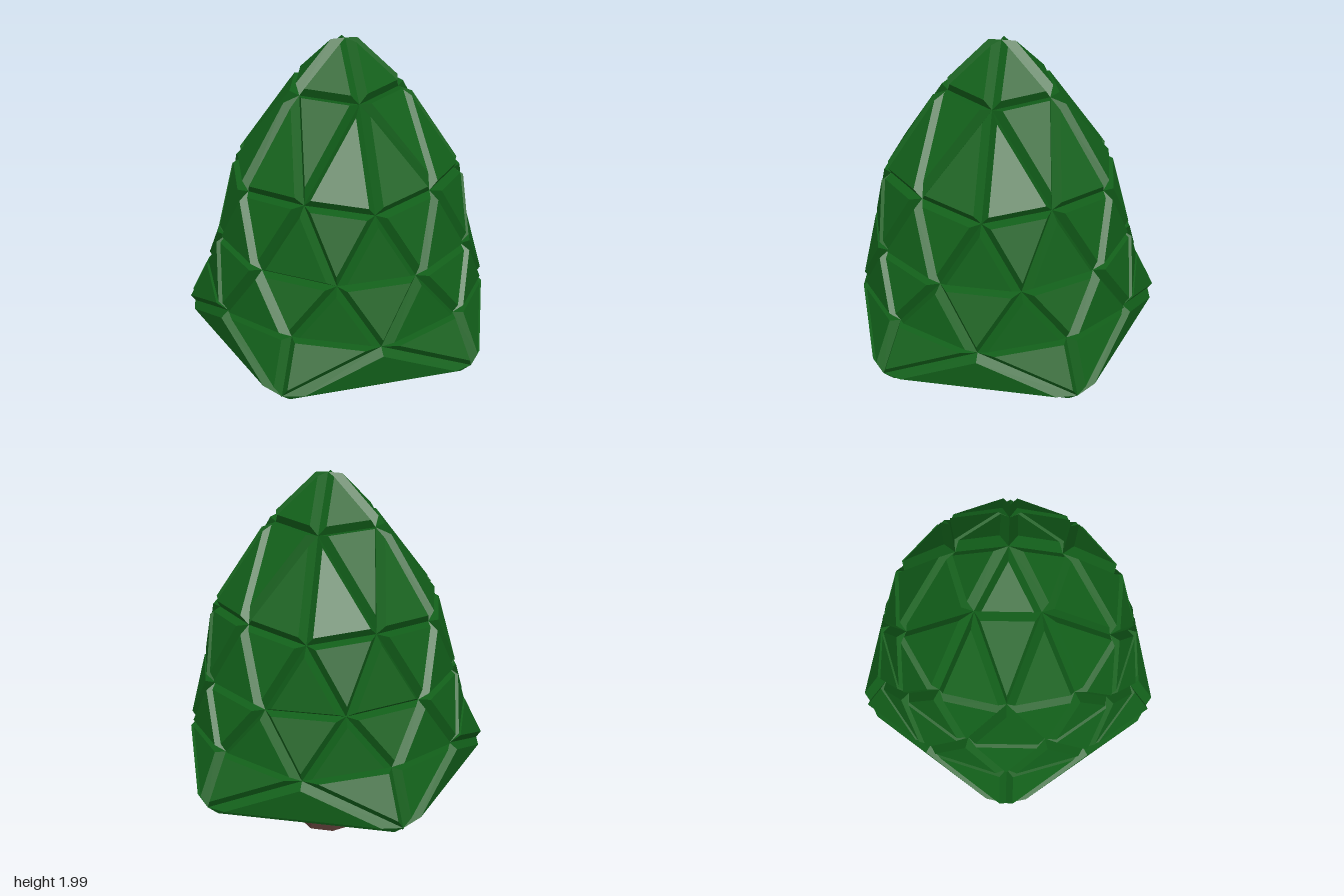
import * as THREE from 'three';

const CENTER_X = 0.05; // the crown and trunk axis
const INSET = 0.022, RAISE = 0.045; // groove half width and depth

// Point on a ring of the crown: radius, height, angle in degrees
function ringPoint(radius, y, degrees) {
  const a = THREE.MathUtils.degToRad(degrees);
  return new THREE.Vector3(CENTER_X + radius * Math.cos(a), y, radius * Math.sin(a));
}

// Triangles of a subdivided icosahedron stretched into a tree crown
function crownTriangles() {
  const top = ringPoint(0, 1.985, 0), bottom = ringPoint(0, 0.465, 0);
  const A = k => ringPoint(0.255, 1.75, 72 * k);
  const U = k => ringPoint(0.545, 1.325, 72 * k);
  const M = k => ringPoint(0.515, 1.35, 72 * k + 36);
  const E1 = k => ringPoint(0.62, 1.0, 72 * k + 18);
  const E2 = k => ringPoint(0.62, 1.0, 72 * k + 54);
  const L = k => ringPoint(0.69, 0.73, 72 * k + 36);
  const N = k => ringPoint(0.69, 0.69, 72 * k);
  const R = k => ringPoint(0.82, 0.465, 72 * k + 36);
  const faces = [];
  for (let k = 0; k < 5; k++) {
    const n = k + 1, p = k - 1;
    faces.push(
      // cap
      [top, A(k), A(n)], [A(k), U(k), M(k)], [A(k), M(k), A(n)], [A(n), M(k), U(n)],
      // upward and downward groups of the middle band
      [U(k), E1(k), M(k)], [M(k), E1(k), E2(k)], [M(k), E2(k), U(n)], [L(k), E1(k), E2(k)],
      [U(k), E2(p), E1(k)], [E2(p), L(p), N(k)], [E2(p), N(k), E1(k)], [E1(k), N(k), L(k)],
      // skirt and underside
      [L(k), N(n), R(k)], [N(n), R(k), R(n)], [N(n), L(n), R(n)], [bottom, R(k), R(n)]
    );
  }
  return faces;
}

// Raises every triangle as its own bevelled plate
function foliageGeometry() {
  const points = [], middle = new THREE.Vector3(CENTER_X, 1, 0);
  for (const face of crownTriangles()) {
    let tri = new THREE.Triangle(...face);
    const outward = tri.getMidpoint(new THREE.Vector3()).sub(middle);
    if (tri.getNormal(new THREE.Vector3()).dot(outward) < 0) tri = new THREE.Triangle(face[0], face[2], face[1]);
    const normal = tri.getNormal(new THREE.Vector3());
    const base = [tri.a, tri.b, tri.c];
    const raised = base.map((corner, i) => {
      const u = base[(i + 1) % 3].clone().sub(corner).normalize();
      const v = base[(i + 2) % 3].clone().sub(corner).normalize();
      const shift = INSET / Math.sin(u.angleTo(v));
      return corner.clone().addScaledVector(u.add(v), shift).addScaledVector(normal, RAISE);
    });
    points.push(...raised);
    for (let i = 0; i < 3; i++) {
      const j = (i + 1) % 3;
      points.push(base[i], base[j], raised[j], base[i], raised[j], raised[i]);
    }
  }
  const geometry = new THREE.BufferGeometry().setFromPoints(points);
  geometry.computeVertexNormals();
  return geometry;
}

// Flared eight-sided trunk; each level is [y, x, z, radiusX, radiusZ]
function trunkGeometry() {
  const levels = [
    [0, 0.05, 0.01, 0.165, 0.135],
    [0.2, 0.06, 0.01, 0.115, 0.112],
    [0.35, 0.05, 0.01, 0.078, 0.085],
    [0.5, 0.05, 0.01, 0.075, 0.08]
  ];
  const geometry = new THREE.CylinderGeometry(1, 1, 3, 8, 3);
  const pos = geometry.attributes.position;
  for (let i = 0; i < pos.count; i++) {
    const [y, x, z, rx, rz] = levels[Math.round(pos.getY(i) + 1.5)];
    pos.setXYZ(i, x + pos.getX(i) * rx, y, z + pos.getZ(i) * rz);
  }
  geometry.computeVertexNormals();
  return geometry;
}

export function createModel() {
  const tree = new THREE.Group();
  tree.name = 'tree';
  const add = (name, geometry, color) => {
    const mesh = new THREE.Mesh(geometry, new THREE.MeshStandardMaterial({ color, flatShading: true }));
    mesh.name = name;
    tree.add(mesh);
  };
  add('foliage', foliageGeometry(), 0x12601a);
  add('trunk', trunkGeometry(), 0x4f352f);
  return tree;
}
